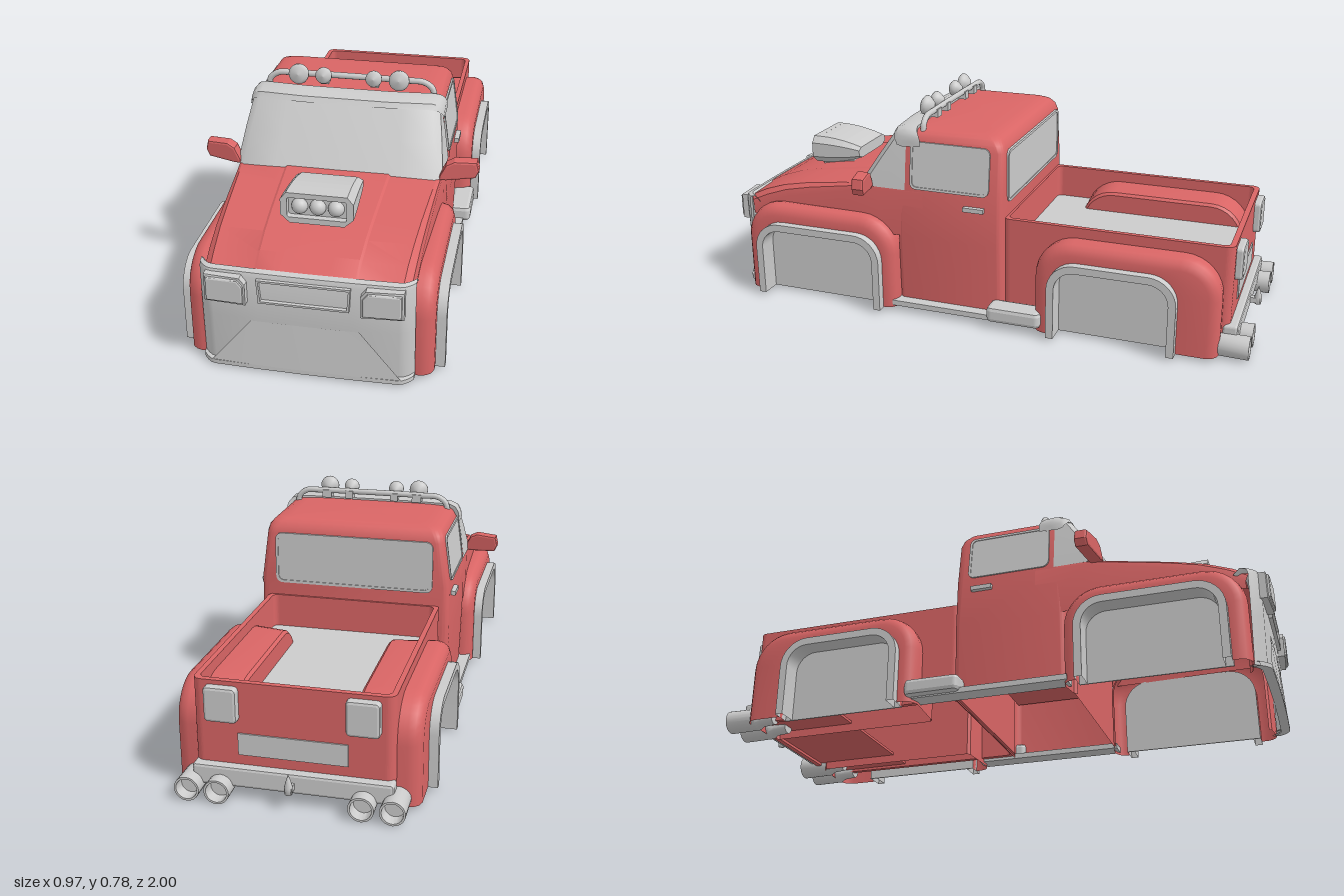
import * as THREE from 'three';
import { toCreasedNormals } from 'three/addons/utils/BufferGeometryUtils.js';

const grey = new THREE.MeshStandardMaterial({ color: 0xcccccc, side: THREE.DoubleSide });
const red = new THREE.MeshStandardMaterial({ color: 0xd96565, side: THREE.DoubleSide });

// How far the nose curves back: almost flat, with rounded corners
const nose = x => 0.06 * x * x + 0.035 * (Math.max(0, Math.abs(x) - 0.3) / 0.047) ** 2;

function add(parent, name, geometry, material) {
  const mesh = new THREE.Mesh(geometry, material);
  mesh.name = name;
  parent.add(mesh);
  return mesh;
}

function box(parent, name, mat, x0, x1, y0, y1, z0, z1) {
  const m = add(parent, name, new THREE.BoxGeometry(x1 - x0, y1 - y0, z1 - z0), mat);
  m.position.set((x0 + x1) / 2, (y0 + y1) / 2, (z0 + z1) / 2);
}

// Skin over equal-length rows of [x, y, z] points
function loft(rows, closed = false, crease = 0.6) {
  const n = rows[0].length, index = [];
  for (let i = 0; i < rows.length - 1; i++) {
    for (let j = 0; j < (closed ? n : n - 1); j++) {
      const k = (j + 1) % n, a = i * n + j, b = i * n + k;
      index.push(a, a + n, b, b, a + n, b + n);
    }
  }
  const g = new THREE.BufferGeometry();
  g.setAttribute('position', new THREE.Float32BufferAttribute(rows.flat(2), 3));
  g.setIndex(index);
  return toCreasedNormals(g, crease);
}

function warp(g, rule) {
  const p = g.attributes.position, v = new THREE.Vector3();
  for (let i = 0; i < p.count; i++) {
    rule(v.fromBufferAttribute(p, i));
    p.setXYZ(i, v.x, v.y, v.z);
  }
  g.computeVertexNormals();
  return g;
}

const points = list => list.map(p => new THREE.Vector2(...p));
const shape = list => new THREE.Shape(points(list));

function roundRect(x0, x1, y0, y1, r) {
  const s = new THREE.Shape();
  s.absarc(x1 - r, y1 - r, r, 0, Math.PI / 2);
  s.absarc(x0 + r, y1 - r, r, Math.PI / 2, Math.PI);
  s.absarc(x0 + r, y0 + r, r, Math.PI, Math.PI * 1.5);
  s.absarc(x1 - r, y0 + r, r, Math.PI * 1.5, Math.PI * 2);
  return s;
}

function extrude(s, depth, bevel = 0, holes = []) {
  s.holes.push(...holes);
  return new THREE.ExtrudeGeometry(s, { depth: depth - bevel, curveSegments: 5, bevelEnabled: bevel > 0,
    bevelSize: bevel, bevelOffset: -bevel, bevelThickness: bevel, bevelSegments: 2 });
}

// Horizontal rounded rectangle, used for the cab
function ring(y, hw, zf, zb, r) {
  return roundRect(-hw, hw, zb, zf, r).getPoints(5).slice(0, -1).map(p => [p.x, y, p.y]);
}

// Wheel-arch outline at one x
function arch(x, z0, z1, top, r, bottom = 0.02) {
  const pts = [[x, bottom, z0]];
  for (const [c, a0] of [[z0 - r, 0], [z1 + r, Math.PI / 2]]) {
    for (let i = 0; i <= 8; i++) {
      const a = a0 + i * Math.PI / 16;
      pts.push([x, top - r + r * Math.sin(a), c + r * Math.cos(a)]);
    }
  }
  return [...pts, [x, bottom, z1]];
}

// Left-side fender, flare and wheel-well panel
function wheelArch(parent, name, z0, z1, t0, t1, inner) {
  const at = (x, d) => arch(x, z0 - d, z1 + d, 0.37 - d, 0.14 - d);
  const rows = [at(inner, 0.022), at(inner + 0.01, 0.012), at(0.36, 0),
    at(0.382, 0.006), at(0.397, 0.018), at(0.405, 0.04), arch(0.405, t0, t1, 0.305, 0.1), arch(0.36, t0, t1, 0.305, 0.1)];
  // inner wall closes the rear housing
  if (inner < 0.25) rows.unshift(rows[0].map(([x, , z]) => [x, 0.02, z]));
  add(parent, name + 'Fender', loft(rows), red);
  const d = 0.027, outer = x => arch(x, t0, t1, 0.305, 0.1, 0.018);
  const open = x => arch(x, t0 - d, t1 + d, 0.305 - d, 0.1 - d, 0.018);
  add(parent, name + 'Flare', loft([outer(0.36), outer(0.43), outer(0.437), open(0.437), open(0.36)]), grey);
  const panel = extrude(shape(outer(0).map(p => [-p[2], p[1]])), 0.005);
  add(parent, name + 'WellPanel', panel.rotateY(Math.PI / 2), grey).position.x = 0.358;
}

// One roof light: bowl, domed lens and foot
function roofLight(parent, x, r) {
  const bowl = [[0, -0.03], [r * 0.5, -0.025], [r * 0.9, -0.008], [r, 0], [r, 0.01], [r * 0.7, 0.018], [0, 0.024]];
  const lamp = add(parent, 'roofLight', new THREE.LatheGeometry(points(bowl), 20).rotateX(Math.PI / 2), grey);
  lamp.position.set(x, 0.753, 0.245);
  lamp.rotation.x = -0.15;
  box(parent, 'lightFoot', grey, x - r / 2, x + r / 2, 0.715, 0.745, 0.195, 0.235);
}

export function createModel() {
  const truck = new THREE.Group();
  truck.name = 'pickupTruck';
  const bend = v => { v.z -= nose(v.x); };

  // Hood with a slightly raised centre; shoulders sharpen towards the cab
  const hood = [[0.948, 0.367, 0.338, 1], [0.88, 0.4, 0.342, 1], [0.8, 0.428, 0.345, 0.9], [0.7, 0.45, 0.349, 0.8], [0.55, 0.474, 0.355, 0.6], [0.44, 0.489, 0.361, 0.4], [0.26, 0.49, 0.361, 0.4]].map(([z, top, w, s]) => {
    const c = 0.16 + (0.9 - z) * 0.04;
    const half = [[w, 0.3], [w, top - 0.04 * s], [w - 0.007 * s, top - 0.016 * s], [w - 0.03 * s, top - 0.004 * s], [c + 0.008, top - 0.001], [c, top + 0.004], [0.08, top + 0.005]];
    return [...half.map(([x, y]) => [-x, y]), ...half.reverse()].map(([x, y]) => [x, y, z - nose(x)]);
  });
  add(truck, 'hood', loft(hood, false, 0.5), red);

  // Cab shell, closed at the roof centre
  const cab = [ring(0.035, 0.355, 0.3, -0.11, 0.025), ring(0.3, 0.363, 0.3, -0.11, 0.025), ring(0.48, 0.36, 0.3, -0.11, 0.03),
    ring(0.645, 0.337, 0.295, -0.108, 0.03), ring(0.67, 0.332, 0.29, -0.1, 0.035), ring(0.688, 0.32, 0.28, -0.085, 0.04),
    ring(0.697, 0.3, 0.27, -0.065, 0.04), ring(0.701, 0.26, 0.24, -0.03, 0.04)];
  cab.push(cab[0].map(() => [0, 0.703, 0.1]));
  add(truck, 'cab', loft(cab, true), red);
  box(truck, 'cabFloor', red, -0.35, 0.35, 0.265, 0.28, -0.1, 0.29);

  // Wraparound windshield
  const glass = [[0.48, 0.363, 0.465], [0.585, 0.349, 0.395], [0.69, 0.331, 0.322]].map(([y, hw, zf]) => {
    const row = [[-hw, y, 0.262]];
    for (const t of [-1, -0.93, -0.6, -0.3, 0, 0.3, 0.6, 0.93, 1]) {
      const x = hw * t;
      row.push([x, y, zf - 0.12 * x * x - (Math.abs(t) === 1 ? 0.02 : 0)]);
    }
    return [...row, [hw, y, 0.262]];
  });
  add(truck, 'windshield', loft(glass), grey);

  // Roof visor drooping at both ends
  const droop = [[0.347, -0.036, -0.035], [0.342, -0.022, -0.028], [0.33, -0.008, -0.018], [0.305, 0, -0.01], [0.15, 0, 0.002]];
  const stations = [...droop.map(([x, ...d]) => [-x, ...d]), ...droop.reverse()];
  const profile = [[0.708, 0.24], [0.711, 0.285], [0.7, 0.318], [0.682, 0.33], [0.676, 0.31], [0.68, 0.24]];
  const visor = stations.map(([x, dy, dz]) => profile.map(([y, z]) => [x, y + dy, z + dz]));
  visor.unshift(profile.map(() => [-0.347, 0.66, 0.245]));
  visor.push(profile.map(() => [0.347, 0.66, 0.245]));
  add(truck, 'visor', loft(visor, true), grey);

  // Cargo bed
  const bedWall = extrude(roundRect(-0.328, 0.328, 0.1, 0.925, 0.03), 0.365, 0, [roundRect(-0.31, 0.31, 0.118, 0.905, 0.02)]);
  add(truck, 'bedWalls', bedWall.rotateX(-Math.PI / 2), red).position.y = 0.04;
  box(truck, 'bedFloor', grey, -0.31, 0.31, 0.265, 0.28, -0.91, -0.11);
  box(truck, 'rearUnderPanel', red, -0.31, 0.31, 0.05, 0.06, -0.91, -0.58);

  // Everything that comes in a left and right pair
  const left = new THREE.Group();
  left.name = 'leftSide';
  wheelArch(left, 'front', 0.92, 0.295, 0.858, 0.345, 0.28);
  wheelArch(left, 'rear', -0.24, -0.9, -0.3, -0.757, 0.19);
  const lean = v => { v.x += 0.36 - 0.139 * Math.max(0, v.y - 0.48); };
  const windowPane = s => warp(s.rotateY(Math.PI / 2), lean);
  const paneOutline = () => roundRect(-0.234, 0.052, 0.497, 0.652, 0.018);
  add(left, 'sideWindow', windowPane(extrude(paneOutline(), 0.003)), grey);
  add(left, 'windowFrame', windowPane(extrude(roundRect(-0.243, 0.061, 0.488, 0.661, 0.024), 0.006, 0, [paneOutline()])), grey);
  box(left, 'doorHandle', grey, 0.36, 0.378, 0.43, 0.446, -0.045, 0.032);
  box(left, 'sill', grey, 0.33, 0.398, 0.03, 0.05, -0.25, 0.31);
  const step = extrude(roundRect(0.34, 0.425, 0.07, 0.272, 0.02), 0.045, 0.015);
  add(left, 'sideStep', step.rotateX(-Math.PI / 2), grey).position.y = 0.05;
  const mirror = extrude(shape([[0.35, 0.476], [0.375, 0.474], [0.473, 0.482], [0.485, 0.507], [0.477, 0.542], [0.4, 0.546], [0.372, 0.532], [0.352, 0.492]]), 0.04, 0.008);
  add(left, 'wingMirror', warp(mirror, v => { v.z += 0.4 - 0.2 * (v.x - 0.36); }), red);

  // Headlight with bezel
  const lampOutline = k => shape([[0.183 + k, 0.266 + k], [0.318 - k, 0.266 + k], [0.318 - k, 0.362 - k], [0.2 + k, 0.362 - k], [0.183 + k, 0.34 - k]]);
  add(left, 'headlightBezel', warp(extrude(lampOutline(0), 0.045, 0, [lampOutline(0.006)]), bend), grey).position.z = 0.948;
  add(left, 'headlight', warp(extrude(lampOutline(0.006), 0.045, 0.006), bend), grey).position.z = 0.955;

  // Tail light and twin exhausts
  add(left, 'tailLight', extrude(roundRect(0.175, 0.285, 0.27, 0.39, 0.015), 0.03, 0.01), grey).position.z = -0.942;
  const pipe = [[0, -0.82], [0.026, -0.82], [0.03, -0.87], [0.04, -0.885], [0.042, -1], [0.035, -1], [0.032, -0.96], [0, -0.96]];
  for (const x of [0.235, 0.335]) {
    const g = new THREE.LatheGeometry(points(pipe), 20);
    add(left, 'exhaust', toCreasedNormals(g.rotateX(Math.PI / 2), 0.6), grey).position.set(x, 0.05, 0);
  }
  roofLight(left, 0.09, 0.029);
  roofLight(left, 0.18, 0.036);
  const right = left.clone();
  right.name = 'rightSide';
  right.scale.x = -1;
  truck.add(left, right);

  // Front fascia
  const across = [-0.347, -0.34, -0.33, -0.315, -0.3, -0.15, 0, 0.15, 0.3, 0.315, 0.33, 0.34, 0.347];
  const row = (y, z) => across.map(x => [x, y, z - nose(x)]);
  add(truck, 'frontFascia', loft([row(0.02, 0.945), row(0.02, 0.962), row(0.2, 0.967), row(0.355, 0.97), row(0.37, 0.964), row(0.375, 0.945), row(0.35, 0.92)]), grey);
  add(truck, 'frontLip', loft([row(0.015, 0.945), row(0.015, 0.978), row(0.03, 0.978), row(0.034, 0.955)]), grey);
  const guard = [[0.03, 0.31, 0.978], [0.195, 0.175, 0.97]].map(([y, w, z]) =>
    [-1, -0.5, 0, 0.5, 1].map(t => [w * t, y, z - nose(w * t)]));
  add(truck, 'lowerGuard', loft(guard), grey);
  const slot = k => shape([[-0.145 + k, 0.272 + k], [0.145 - k, 0.272 + k], [0.15 - k, 0.355 - k], [-0.15 + k, 0.355 - k]]);
  add(truck, 'grilleFrame', warp(extrude(slot(0), 0.022, 0, [slot(0.007)]), bend), grey).position.z = 0.96;

  // Air scoop on the hood
  const face = shape([[-0.12, 0.48], [-0.09, 0.452], [0.09, 0.452], [0.12, 0.48], [0.12, 0.535], [0.1, 0.56], [-0.1, 0.56], [-0.12, 0.535]]);
  const taper = v => {
    const k = Math.max(0, (0.18 - v.z) / 0.18);
    v.y += (0.512 - v.y) * 0.6 * k * k;
    v.x *= 1 - 0.05 * k;
  };
  const scoop = new THREE.ExtrudeGeometry(face, { depth: 0.18, steps: 5, bevelEnabled: false });
  add(truck, 'scoopBody', warp(scoop, taper), grey).position.z = 0.57;
  add(truck, 'scoopMouth', extrude(face.clone(), 0.025, 0, [roundRect(-0.098, 0.098, 0.472, 0.542, 0.008)]), grey).position.z = 0.748;
  box(truck, 'scoopBase', grey, -0.09, 0.09, 0.425, 0.47, 0.59, 0.74);
  for (const x of [-0.06, 0, 0.06]) {
    add(truck, 'intakeValve', new THREE.SphereGeometry(0.027, 20, 12), grey).position.set(x, 0.506, 0.752);
  }

  // Roof light bar
  const bar = new THREE.CatmullRomCurve3([[-0.3, 0.69], [-0.295, 0.715], [-0.265, 0.738], [-0.2, 0.741], [0.2, 0.741], [0.265, 0.738], [0.295, 0.715], [0.3, 0.69]]
    .map(([x, y]) => new THREE.Vector3(x, y, 0.21)), false, 'centripetal');
  add(truck, 'lightBar', new THREE.TubeGeometry(bar, 48, 0.011, 10), grey);

  // Back end
  const rearPane = () => roundRect(-0.29, 0.29, 0.465, 0.64, 0.02);
  add(truck, 'rearWindow', extrude(rearPane(), 0.01), grey).position.z = -0.112;
  add(truck, 'rearWindowFrame', extrude(roundRect(-0.3, 0.3, 0.455, 0.65, 0.025), 0.012, 0, [rearPane()]), grey).position.z = -0.115;
  box(truck, 'tailPlate', grey, -0.18, 0.18, 0.155, 0.23, -0.93, -0.92);
  const bumper = extrude(roundRect(-0.33, 0.33, 0.05, 0.12, 0.012), 0.045, 0.01);
  add(truck, 'rearBumper', bumper, grey).position.z = -0.945;
  box(truck, 'towBar', grey, -0.012, 0.012, 0.07, 0.09, -0.99, -0.94);
  const hook = new THREE.LatheGeometry(points([[0, 0.065], [0.012, 0.065], [0.014, 0.09], [0.007, 0.115], [0, 0.135]]), 12);
  add(truck, 'towHook', hook, grey).position.z = -0.982;

  return truck;
}
